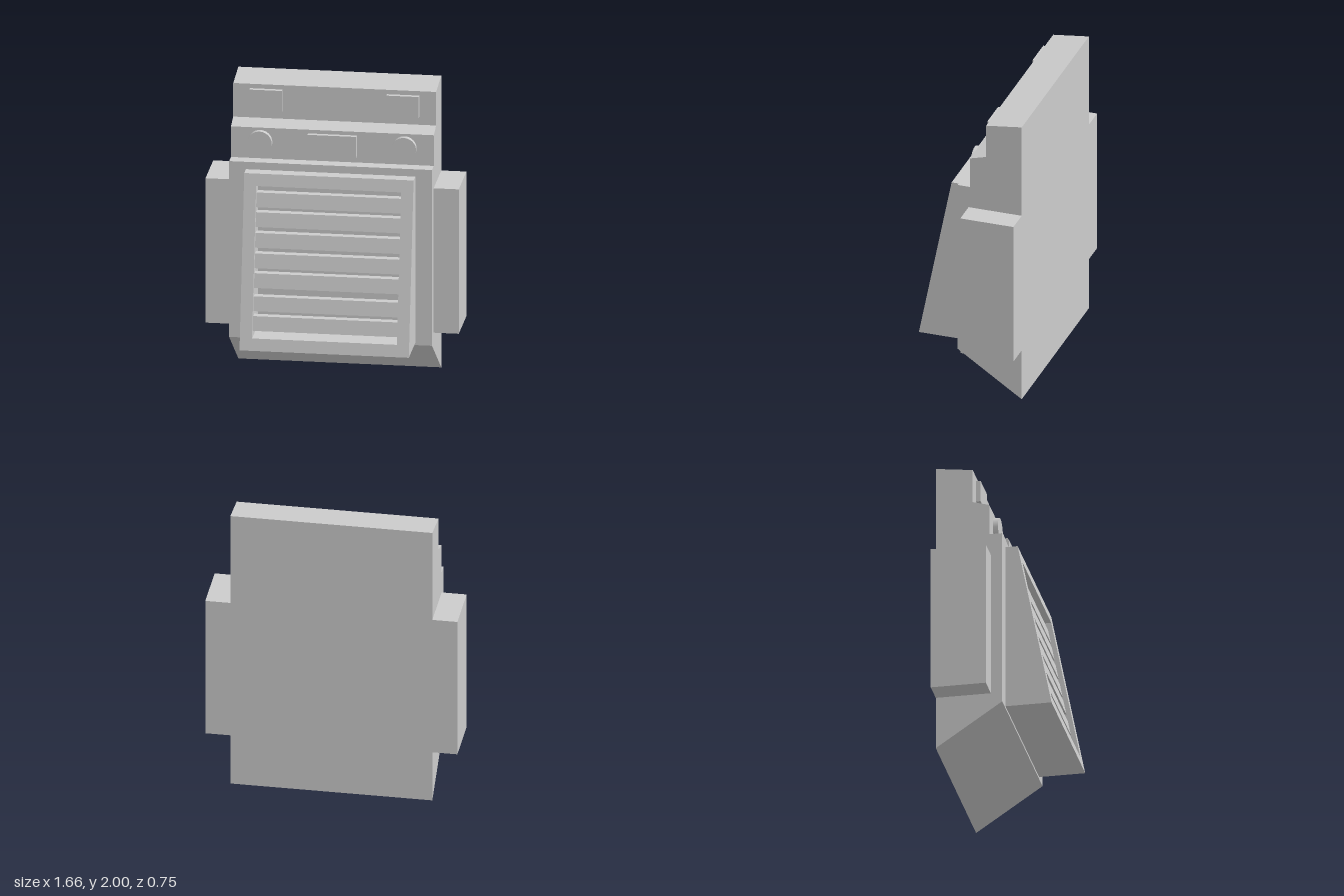
import * as THREE from 'three';

export function createModel() {
  const model = new THREE.Group();
  const grey = new THREE.MeshStandardMaterial({ color: 0xcccccc, flatShading: true });
  const smooth = new THREE.MeshStandardMaterial({ color: 0xcccccc });

  const add = (name, geometry, parent = model, material = grey) => {
    const mesh = new THREE.Mesh(geometry, material);
    mesh.name = name;
    parent.add(mesh);
    return mesh;
  };

  // Box given by its limits on each axis
  const box = (name, [x0, x1], [y0, y1], [z0, z1]) => {
    const mesh = add(name, new THREE.BoxGeometry(x1 - x0, y1 - y0, z1 - z0));
    mesh.position.set((x0 + x1) / 2, (y0 + y1) / 2, (z0 + z1) / 2);
    return mesh;
  };

  // Side profile of [z, y] points, extruded from x0 to x1
  const extrudeX = (name, points, x0, x1, parent) => {
    const shape = new THREE.Shape(points.map(([z, y]) => new THREE.Vector2(z, y)));
    const geometry = new THREE.ExtrudeGeometry(shape, { depth: x1 - x0, bevelEnabled: false });
    geometry.rotateY(-Math.PI / 2).translate(x1, 0, 0);
    return add(name, geometry, parent);
  };

  // Stepped body with a slanted underside
  const back = -0.375, face = 0.065, step1 = -0.02, step2 = -0.13;
  extrudeX('body', [
    [back, 0], [face, 0.295], [face, 1.5], [step1, 1.5], [step1, 1.71],
    [step2, 1.74], [step2, 1.97], [back, 2],
  ], -0.665, 0.665);

  // Sloping grille frame: z of its front plane at height y
  const front = (y) => 0.145 + (1.45 - y) * 0.1974;
  const grille = new THREE.Group();
  grille.name = 'grille';
  model.add(grille);
  const wedge = (y0, y1) => [[face, y0], [front(y0), y0], [front(y1), y1], [face, y1]];
  const outer = 0.555, inner = 0.475;
  extrudeX('grilleLeftPost', wedge(0.31, 1.45), inner, outer, grille);
  extrudeX('grilleRightPost', wedge(0.31, 1.45), -outer, -inner, grille);
  extrudeX('grilleTopRail', wedge(1.37, 1.45), -inner, inner, grille);
  extrudeX('grilleBottomRail', wedge(0.31, 0.39), -inner, inner, grille);

  // Slats set back behind the front plane
  const recess = 0.031, thickness = 0.05;
  for (const top of [1.319, 1.192, 1.059, 0.927, 0.8, 0.651, 0.524]) {
    const low = top - 0.095;
    const zTop = front(top) - recess, zLow = front(low) - recess;
    extrudeX('slat', [
      [zLow - thickness, low], [zLow, low], [zTop, top], [zTop - thickness, top],
    ], -inner, inner, grille);
  }

  // Centre panel on the lower step
  box('centrePanel', [-0.16, 0.16], [1.54, 1.685], [step1, 0.01]);

  // Mirrored side boxes, upper plates and round dials
  for (const s of [-1, 1]) {
    const side = s > 0 ? 'left' : 'right';
    const mirror = (a, b) => (s > 0 ? [a, b] : [-b, -a]);
    box(side + 'SideBox', mirror(0.665, 0.83), [0.36, 1.35], [back, -0.01]);
    box(side + 'UpperPlate', mirror(0.342, 0.555), [1.795, 1.94], [step2, -0.1]);
    const dial = new THREE.CylinderGeometry(0.08, 0.08, 0.035, 48).rotateX(Math.PI / 2);
    add(side + 'Dial', dial, model, smooth).position.set(s * 0.473, 1.614, step1 + 0.0175);
  }

  return model;
}
